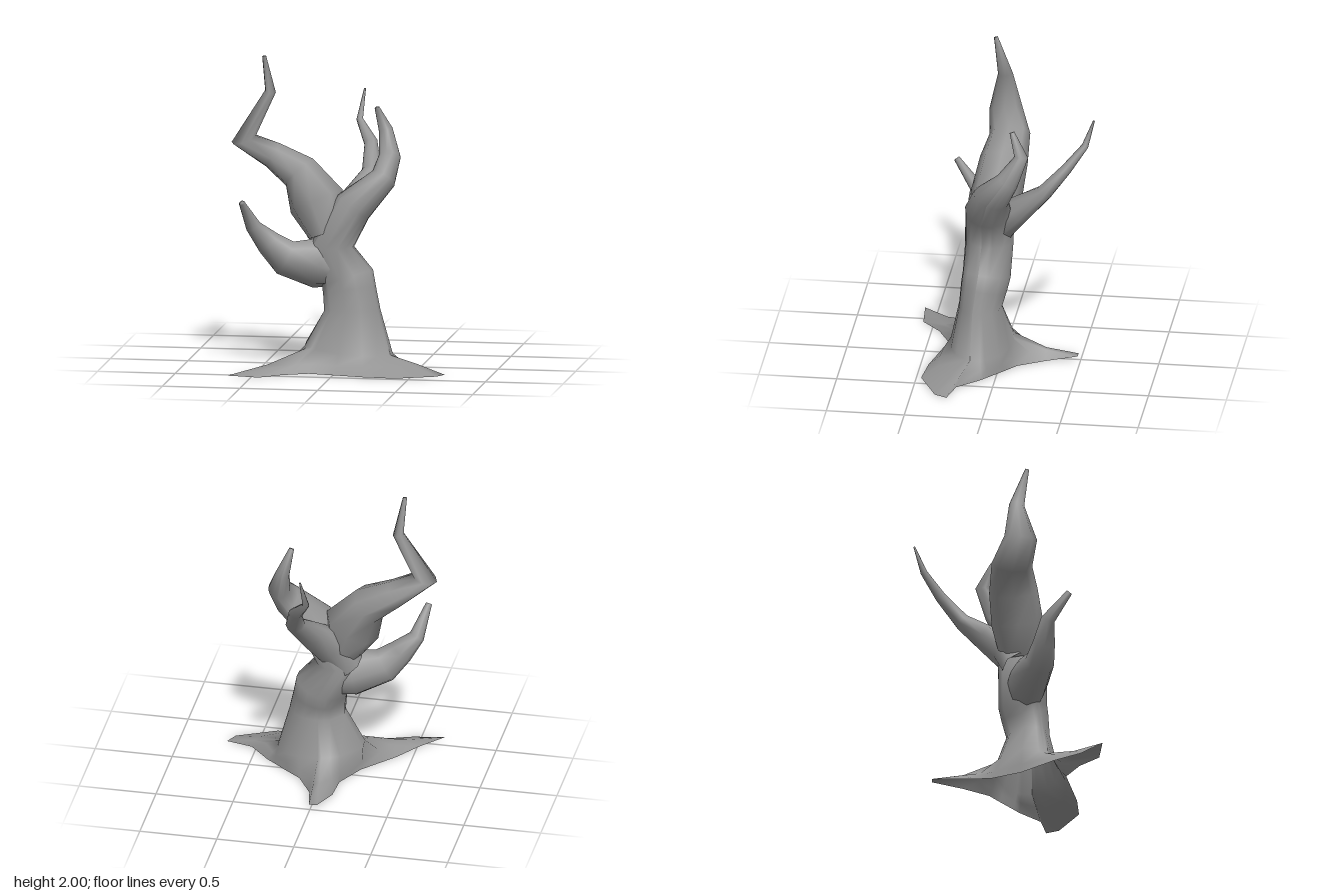
import * as THREE from 'three';

// Open underneath, so both sides show
const material = new THREE.MeshStandardMaterial({ color: 0x949494, side: THREE.DoubleSide });
const Z = new THREE.Vector3(0, 0, 1);

// One cross-section: an ellipse square to the limb, sampled at the given angles
function crossSection(center, dir, ru, rv, angles) {
  const v = Z.clone().addScaledVector(dir, -Z.dot(dir)).normalize();
  const u = dir.clone().cross(v);
  return angles.map(a => center.clone()
    .addScaledVector(u, Math.cos(a) * ru).addScaledVector(v, Math.sin(a) * rv));
}

// Stations are [x, y, z, radius across, radius in depth]
function limbRings(stations, angles) {
  const c = stations.map(s => new THREE.Vector3(s[0], s[1], s[2]));
  return stations.map((s, i) => {
    const dir = new THREE.Vector3();
    if (i > 0) dir.add(c[i].clone().sub(c[i - 1]).normalize());
    if (i < c.length - 1) dir.add(c[i + 1].clone().sub(c[i]).normalize());
    return crossSection(c[i], dir.normalize(), s[3], s[4] ?? s[3], angles);
  });
}

// Skin a list of rings and close the far end
function loft(name, rings) {
  const n = rings[0].length, index = [];
  const points = rings.flat();
  for (let r = 0; r < rings.length - 1; r++) {
    for (let i = 0; i < n; i++) {
      const a = r * n + i, b = r * n + (i + 1) % n;
      index.push(a, a + n, b, b, a + n, b + n);
    }
  }
  const last = (rings.length - 1) * n;
  const tip = new THREE.Vector3();
  rings.at(-1).forEach(p => tip.addScaledVector(p, 1 / n));
  points.push(tip);
  for (let i = 0; i < n; i++) index.push(last + i, points.length - 1, last + (i + 1) % n);
  const geometry = new THREE.BufferGeometry().setFromPoints(points);
  geometry.setIndex(index);
  geometry.computeVertexNormals();
  const mesh = new THREE.Mesh(geometry, material);
  mesh.name = name;
  return mesh;
}

export function createModel() {
  const tree = new THREE.Group();
  tree.name = 'bareTree';

  // Outline of the three spreading roots, as x, z and height where off the ground
  const outline = [
    [0.70, 0.27], [0.66, 0.35], [0.41, 0.47], [0.20, 0.45], [0.02, 0.41],
    [-0.16, 0.37], [-0.32, 0.45], [-0.45, 0.57], [-0.65, 0.585, 0.01], [-0.51, 0.45], [-0.40, 0.29],
    [-0.21, 0.08], [-0.11, -0.11], [-0.10, -0.28], [-0.04, -0.48, 0.025], [0.01, -0.48, 0.025],
    [0.05, -0.28], [0.15, -0.11], [0.24, -0.04], [0.35, 0.05], [0.40, 0.09], [0.53, 0.23],
  ];
  const angles = outline.map(([x, z]) => Math.atan2(z - 0.13, x - 0.05));

  // Trunk, bending left and then sweeping up into the right-hand branch
  const trunkRings = limbRings([
    [0.055, 0.13, 0.125, 0.285, 0.205],
    [0.08, 0.38, 0.135, 0.182, 0.138],
    [0.06, 0.50, 0.115, 0.172, 0.15],
    [0.045, 0.58, 0.10, 0.172, 0.155],
    [-0.06, 0.78, 0.095, 0.145, 0.155],
    [0.08, 1.04, 0.085, 0.125, 0.148],
    [0.265, 1.215, 0.04, 0.085, 0.12],
    [0.29, 1.34, -0.065, 0.07, 0.075],
    [0.25, 1.50, -0.15, 0.045, 0.045],
    [0.205, 1.65, -0.085, 0.016],
  ], angles);

  // Roots: the flare dips between the trunk and the outline
  const ground = outline.map(([x, z, y = 0]) => new THREE.Vector3(x, y, z));
  const flare = ground.map((p, i) => p.clone().lerp(trunkRings[0][i], 0.5).setY(0.055 + p.y * 0.5));
  tree.add(loft('trunkAndRoots', [ground, flare, ...trunkRings]));

  // Branches growing out of the trunk
  const branches = {
    tallBranch: [
      [-0.09, 0.86, 0.085, 0.12, 0.13],
      [-0.16, 1.06, 0.06, 0.185, 0.165],
      [-0.275, 1.24, 0.03, 0.125, 0.155],
      [-0.45, 1.345, 0.015, 0.088, 0.13],
      [-0.63, 1.45, 0.065, 0.08, 0.105],
      [-0.46, 1.76, 0.045, 0.035, 0.048],
      [-0.49, 1.995, 0.11, 0.013],
    ],
    lowBranch: [
      [-0.02, 0.65, 0.11, 0.13, 0.12],
      [-0.14, 0.677, 0.13, 0.165, 0.13],
      [-0.34, 0.715, 0.195, 0.118, 0.095],
      [-0.44, 0.81, 0.22, 0.085, 0.07],
      [-0.54, 0.92, 0.24, 0.05, 0.045],
      [-0.59, 1.09, 0.375, 0.02],
    ],
    backBranch: [
      [-0.13, 0.77, 0.07, 0.11, 0.11],
      [-0.02, 0.93, 0.01, 0.125, 0.11],
      [0.07, 1.06, -0.12, 0.095, 0.08],
      [0.14, 1.21, -0.28, 0.064, 0.052],
      [0.11, 1.37, -0.42, 0.045, 0.035],
      [0.02, 1.50, -0.53, 0.022],
      [0.045, 1.69, -0.59, 0.006],
    ],
  };
  const octagon = Array.from({ length: 8 }, (_, i) => i * Math.PI / 4);
  for (const [name, stations] of Object.entries(branches)) {
    tree.add(loft(name, limbRings(stations, octagon)));
  }
  return tree;
}
